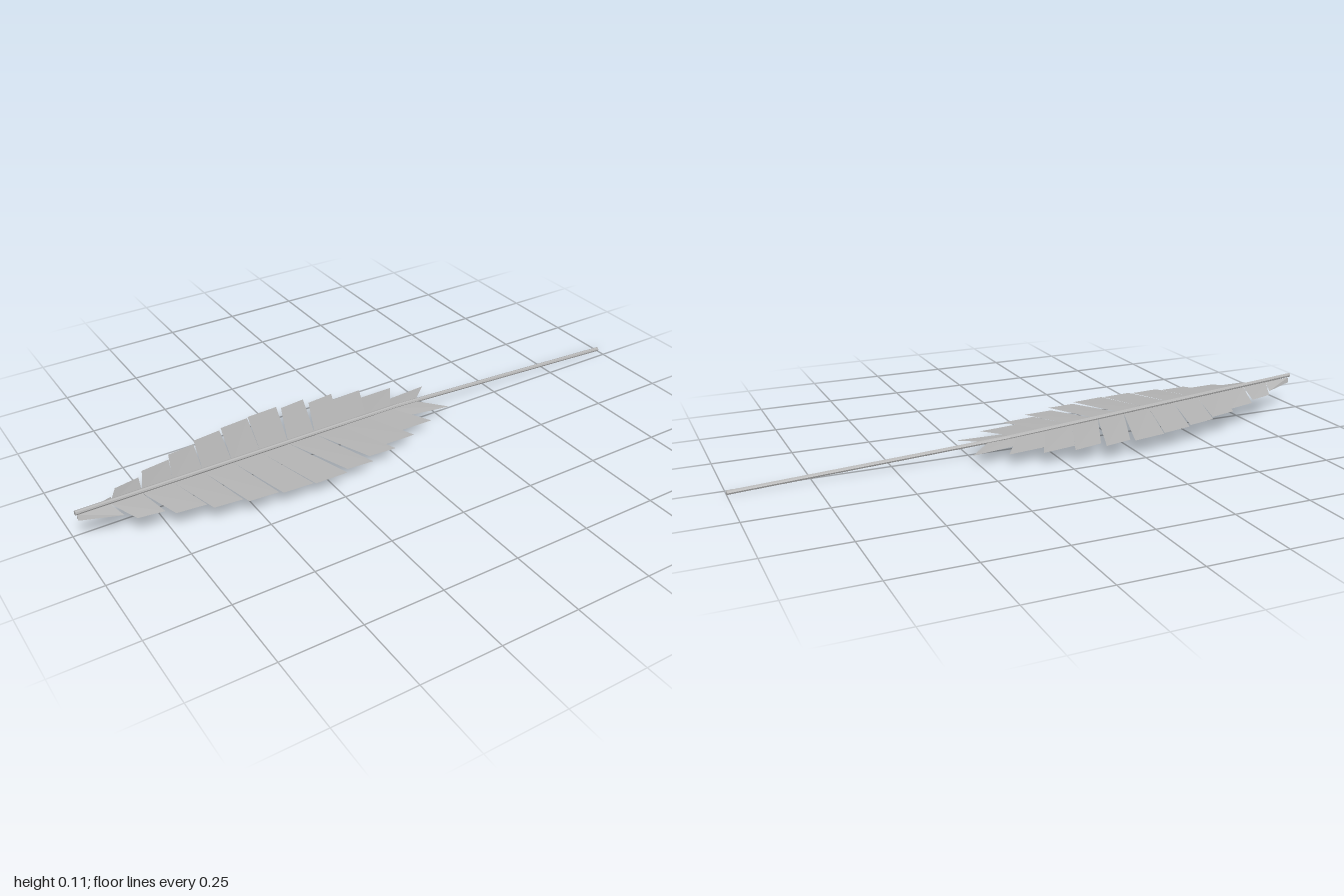
import * as THREE from 'three';

export function createModel() {
  const model = new THREE.Group();
  const grey = new THREE.MeshStandardMaterial({ color: 0xb4b4b4, side: THREE.DoubleSide, flatShading: true });
  grey.name = 'leaf grey';

  // Centre line: straight stem, then a rib veering slightly sideways
  const bend = 0.12;
  const axisY = (x) => 0.058 - 0.0505 * x;
  const axisZ = (x) => -0.033 + 0.068 * Math.max(0, bend - x);
  const axisPoint = (x) => new THREE.Vector3(x, axisY(x), axisZ(x));

  // Thin octagonal rod between two points on the centre line
  function rod(name, x0, x1) {
    const a = axisPoint(x0), b = axisPoint(x1);
    const dir = b.clone().sub(a);
    const mesh = new THREE.Mesh(new THREE.CylinderGeometry(0.007, 0.007, dir.length(), 8), grey);
    mesh.position.copy(a).add(b).multiplyScalar(0.5);
    mesh.quaternion.setFromUnitVectors(new THREE.Vector3(0, 1, 0), dir.normalize());
    mesh.name = name;
    model.add(mesh);
  }
  rod('stem', 1, bend);
  rod('midrib', bend, -0.995);

  // Each lobe: outer start x and half width, outer end x and half width
  const lobes = [
    [-0.99, 0.005, -0.87, 0.052],
    [-0.845, 0.085, -0.765, 0.098],
    [-0.743, 0.124, -0.65, 0.135],
    [-0.64, 0.16, -0.55, 0.17],
    [-0.54, 0.188, -0.445, 0.197],
    [-0.435, 0.207, -0.335, 0.214],
    [-0.33, 0.219, -0.22, 0.223],
    [-0.21, 0.208, -0.12, 0.216],
    [-0.115, 0.187, -0.02, 0.195],
    [-0.035, 0.16, 0.075, 0.164],
    [0.03, 0.12, 0.173, 0.122],
    [0.12, 0.06, 0.275, 0.078],
  ];

  // Half blade: one strip per lobe, sloping down from the rib to the toothed edge
  function halfBlade(side) {
    const positions = [];
    const root = (x) => [x, axisY(x) - 0.003 + 0.006 * x, axisZ(x)];
    const edge = (x, w) => [x, axisY(x) - 0.01 + 0.015 * x, axisZ(x) + side * w];
    lobes.forEach(([x0, w0, x1, w1], i) => {
      const start = -0.99 + i * 0.0985;
      const a = root(start), b = root(start + 0.0985);
      const c = edge(x1, w1), d = edge(x0, w0);
      const quad = side > 0 ? [a, d, c, a, c, b] : [a, c, d, a, b, c];
      quad.forEach((p) => positions.push(...p));
    });
    const geometry = new THREE.BufferGeometry();
    geometry.setAttribute('position', new THREE.Float32BufferAttribute(positions, 3));
    geometry.computeVertexNormals();
    const mesh = new THREE.Mesh(geometry, grey);
    mesh.name = side > 0 ? 'frontBlade' : 'backBlade';
    model.add(mesh);
  }
  halfBlade(1);
  halfBlade(-1);

  return model;
}
